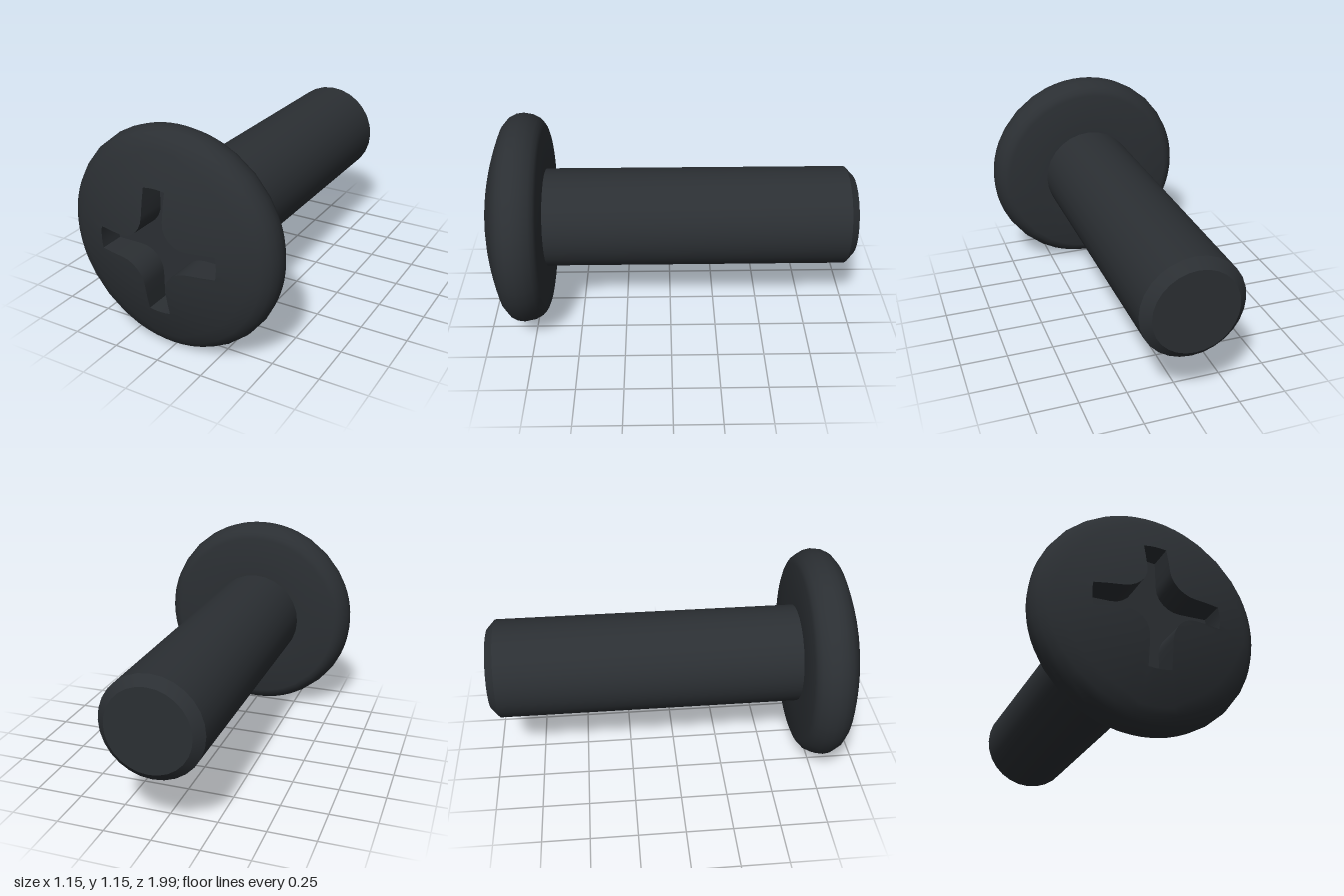
import * as THREE from 'three';
import { toCreasedNormals } from 'three/addons/utils/BufferGeometryUtils.js';

const HEAD_R = 0.573;
const ARM_R = 0.322;   // reach of the cross recess
const ARM_W = 0.058;   // half width of each arm
const FILLET = 0.122;  // rounding between the arms
const FLOOR_Z = 0.83;  // bottom of the recess

const domeZ = (r) => 1 - r * r / 2.4;

// Outline of the cross recess, counter-clockwise, one quadrant turned four times
function crossOutline() {
  const corner = Math.sqrt(ARM_R ** 2 - ARM_W ** 2);
  const c = ARM_W + FILLET;
  const half = [[ARM_R, 0], [ARM_R * Math.cos(0.09), ARM_R * Math.sin(0.09)], [corner, ARM_W], [0.25, ARM_W]];
  const quadrant = [...half];
  for (let i = 0; i <= 6; i++) {
    const a = Math.PI * (1.5 - i / 12);
    quadrant.push([c + FILLET * Math.cos(a), c + FILLET * Math.sin(a)]);
  }
  for (const [x, y] of half.slice(1).reverse()) quadrant.push([y, x]);

  const points = [];
  for (let q = 0; q < 4; q++) {
    const turn = q * Math.PI / 2;
    for (const [x, y] of quadrant) {
      points.push(new THREE.Vector2(x, y).rotateAround(new THREE.Vector2(), turn));
    }
  }
  return points;
}

// Skin a list of equal-length rings, each running counter-clockwise about +z
function skin(rings) {
  const n = rings[0].length;
  const index = [];
  for (let i = 0; i < rings.length - 1; i++) {
    for (let j = 0; j < n; j++) {
      const k = (j + 1) % n;
      const a = i * n + j, b = a + n, c = (i + 1) * n + k, d = i * n + k;
      if (i > 0) index.push(a, c, d);
      index.push(a, b, c);
    }
  }
  const geometry = new THREE.BufferGeometry().setFromPoints(rings.flat());
  geometry.setIndex(index);
  return toCreasedNormals(geometry, 0.75);
}

function headGeometry() {
  const outline = crossOutline();
  const circle = (r, z) => outline.map((p) => {
    const a = p.angle();
    return new THREE.Vector3(r * Math.cos(a), r * Math.sin(a), z);
  });

  // Recess floor: centre, then cross outline
  const rings = [
    outline.map(() => new THREE.Vector3(0, 0, FLOOR_Z)),
    outline.map((p) => new THREE.Vector3(p.x, p.y, FLOOR_Z)),
  ];
  // Dome, blending from the cross outline to a circle
  const steps = 6, domeR = 0.515;
  for (let s = 0; s <= steps; s++) {
    rings.push(outline.map((p) => {
      const r = THREE.MathUtils.lerp(p.length(), domeR, s / steps);
      const a = p.angle();
      return new THREE.Vector3(r * Math.cos(a), r * Math.sin(a), domeZ(r));
    }));
  }
  // Rounded rim and flat underside
  const rim = [
    [0.55, 0.86], [0.568, 0.825], [HEAD_R, 0.787], [0.565, 0.745],
    [0.543, 0.705], [0.52, 0.685], [0.495, 0.675], [0.25, 0.675],
  ];
  for (const [r, z] of rim) rings.push(circle(r, z));
  return skin(rings);
}

// Plain shank with a chamfered tip
function shankGeometry() {
  const profile = [[0, -1], [0.22, -1], [0.268, -0.955], [0.268, 0.69]]
    .map(([r, z]) => new THREE.Vector2(r, z));
  const geometry = new THREE.LatheGeometry(profile, 28);
  geometry.rotateX(Math.PI / 2);
  return toCreasedNormals(geometry, 0.5);
}

export function createModel() {
  const group = new THREE.Group();
  group.name = 'screw';
  const material = new THREE.MeshStandardMaterial({ color: 0x2b2f33 });
  const add = (name, geometry) => {
    const mesh = new THREE.Mesh(geometry, material);
    mesh.name = name;
    mesh.position.y = HEAD_R;
    group.add(mesh);
  };
  add('head', headGeometry());
  add('shank', shankGeometry());
  return group;
}
